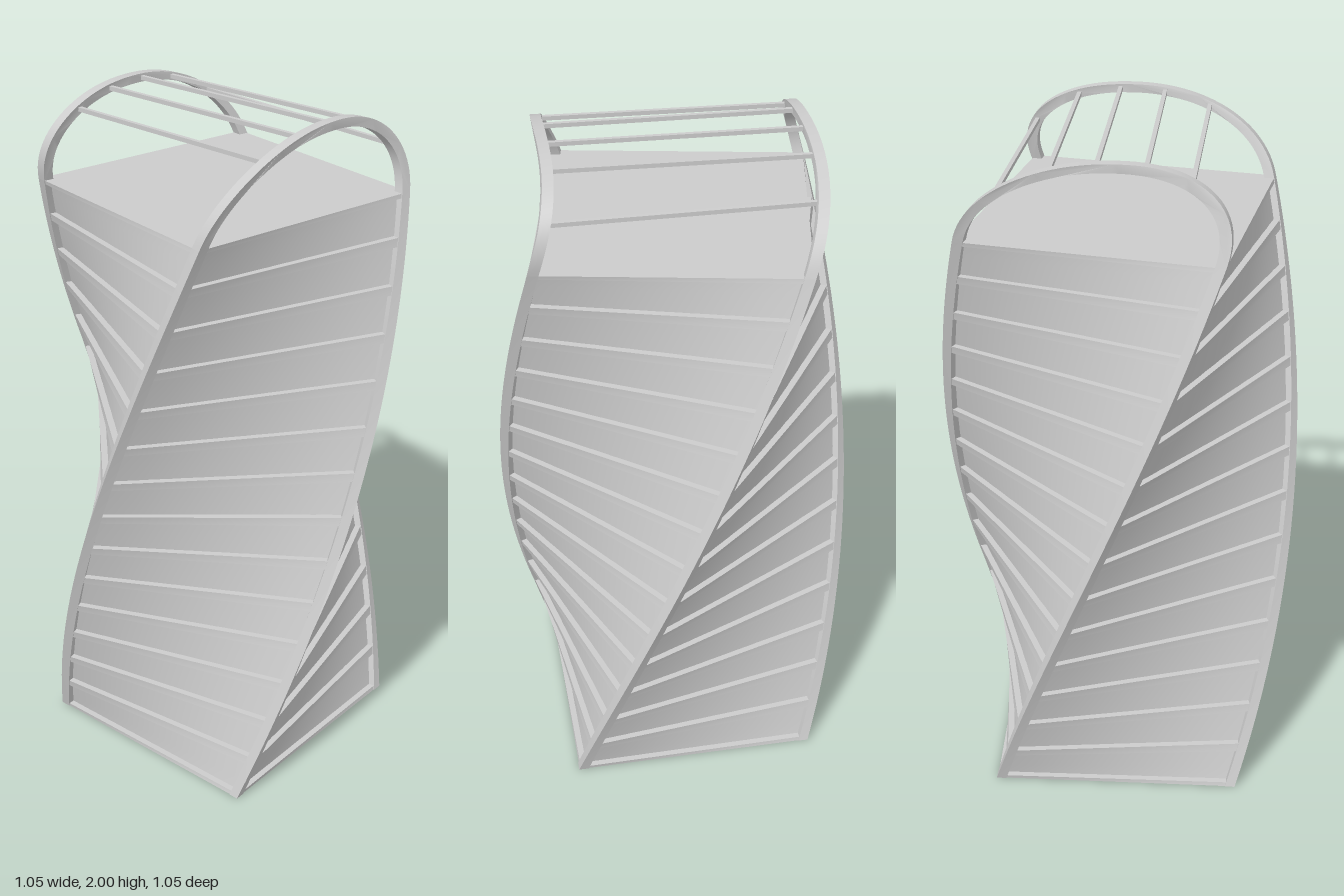
import * as THREE from 'three';
import { toCreasedNormals } from 'three/addons/utils/BufferGeometryUtils.js';

const HALF = 0.37, ROOF = 1.75, FRAME = 0.03, FLOORS = 14;
const TWIST = Math.PI / 4; // turn per unit of height

const material = new THREE.MeshStandardMaterial({ color: 0xcccccc });

// Turn every vertex about the y axis in proportion to its height
function twist(geometry) {
  const p = geometry.attributes.position;
  const v = new THREE.Vector3(), up = new THREE.Vector3(0, 1, 0);
  for (let i = 0; i < p.count; i++) {
    v.fromBufferAttribute(p, i).applyAxisAngle(up, TWIST * v.y);
    p.setXYZ(i, v.x, v.y, v.z);
  }
  geometry.computeVertexNormals();
  return geometry;
}

function add(parent, name, geometry) {
  const mesh = new THREE.Mesh(geometry, material);
  mesh.name = name;
  parent.add(mesh);
  return mesh;
}

// Upright box between two heights, twisted with the tower
function twistedBox(width, y0, y1, x, z, across, steps) {
  const g = new THREE.BoxGeometry(width, y1 - y0, width, across, steps, across);
  return twist(g.translate(x, (y0 + y1) / 2, z));
}

// Rounded arch outline, from one foot (t = 0) to the other (t = PI)
function archPoint(t, inset) {
  const e = 2 / 2.15, c = Math.cos(t), s = Math.max(0, Math.sin(t));
  return new THREE.Vector2(
    Math.sign(c) * Math.abs(c) ** e * (HALF - inset),
    ROOF + s ** e * (2 - ROOF - inset * 0.8));
}

function archGeometry() {
  const outer = [], inner = [];
  for (let i = 0; i <= 48; i++) {
    outer.push(archPoint(Math.PI * i / 48, 0));
    inner.unshift(archPoint(Math.PI * i / 48, FRAME));
  }
  const shape = new THREE.Shape([...outer, ...inner]);
  const g = new THREE.ExtrudeGeometry(shape, { depth: FRAME, bevelEnabled: false });
  g.translate(0, 0, HALF - FRAME);
  return toCreasedNormals(twist(g), 0.6);
}

// Point on the middle of the +x arch that lies at a given z
function pointOnArch(z) {
  let best = null;
  for (let i = 0; i <= 400; i++) {
    const q = archPoint(Math.PI * i / 400, FRAME / 2);
    const p = new THREE.Vector3(q.x, q.y, HALF - FRAME / 2)
      .applyAxisAngle(new THREE.Vector3(0, 1, 0), TWIST * q.y);
    // keep to the upper part of the arch
    if (q.y < 1.84) continue;
    if (!best || Math.abs(p.z - z) < Math.abs(best.z - z)) best = p;
  }
  return best;
}

function rod(parent, a, b) {
  const mesh = add(parent, 'roofRod', new THREE.BoxGeometry(0.012, 0.012, a.distanceTo(b)));
  mesh.position.copy(a).add(b).multiplyScalar(0.5);
  mesh.lookAt(b);
}

export function createModel() {
  const tower = new THREE.Group();
  tower.name = 'twistedTower';

  // Recessed window walls
  add(tower, 'windowWalls', twistedBox(2 * (HALF - 0.02), 0.005, ROOF - 0.005, 0, 0, 8, FLOORS * 3));

  // Floor bands, with the base and the roof as the first and last
  const floors = new THREE.Group();
  floors.name = 'floorBands';
  tower.add(floors);
  const step = ROOF / FLOORS;
  for (let i = 0; i <= FLOORS; i++) {
    const y0 = Math.max(0, i * step - 0.012), y1 = Math.min(ROOF, i * step + 0.012);
    const name = i === 0 ? 'base' : i === FLOORS ? 'roof' : 'floorBand';
    add(floors, name, twistedBox(2 * HALF - 0.004, y0, y1, 0, 0, 4, 1));
  }

  // Spiralling corner posts
  const c = HALF - FRAME / 2;
  for (const x of [-c, c]) {
    for (const z of [-c, c]) {
      add(tower, 'cornerPost', twistedBox(FRAME, 0, ROOF, x, z, 1, 56));
    }
  }

  // Pair of arches carrying the posts over the roof
  const arch = archGeometry();
  add(tower, 'roofArch', arch);
  add(tower, 'roofArch', arch).rotation.y = Math.PI;

  // Rods between the arches: z on the right arch, z on the left arch
  const rods = new THREE.Group();
  rods.name = 'roofRods';
  tower.add(rods);
  const ends = [[-0.27, -0.31], [-0.145, -0.17], [-0.025, -0.045], [0.105, 0.08], [0.237, 0.2]];
  for (const [zPlus, zMinus] of ends) {
    const a = pointOnArch(zPlus), b = pointOnArch(-zMinus);
    b.set(-b.x, b.y, -b.z);
    rod(rods, a, b);
  }
  return tower;
}
